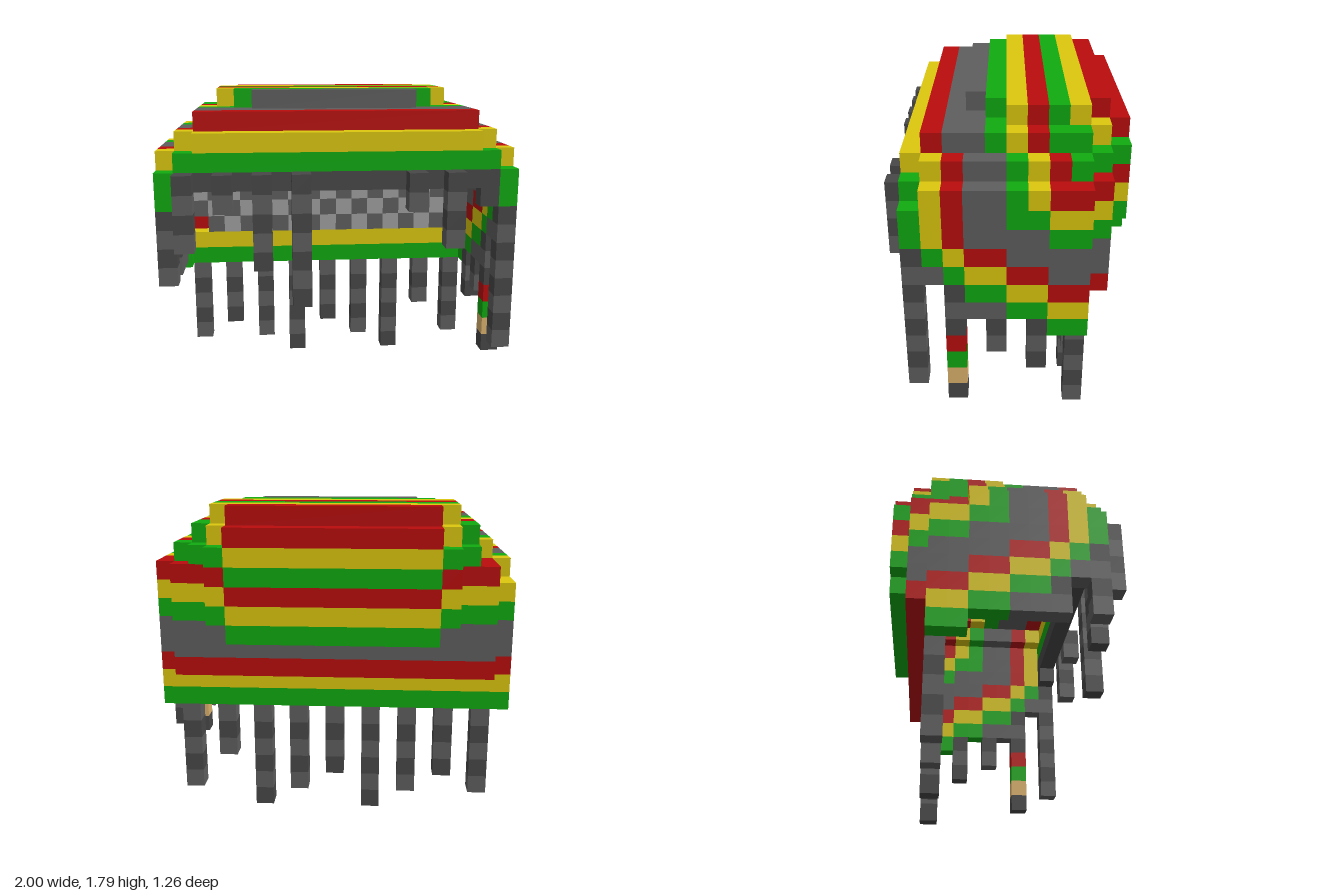
import * as THREE from 'three';
import { mergeGeometries } from 'three/addons/utils/BufferGeometryUtils.js';

const U = 2 / 19; // one block; columns i = -9..9, rows from the ground, layers k = 0 (front)..11 (back)
const COLORS = {
  a: 0x5f5f5f, d: 0x484848, l: 0xa0a0a0, r: 0xbb0d0d, y: 0xdcc80e, g: 0x10ab10, t: 0xdeb46e,
};
const materials = {};
for (const key in COLORS) {
  materials[key] = new THREE.MeshStandardMaterial({ color: COLORS[key], flatShading: true });
}

// Stripe colour per layer, top row (16) down to the rim at the back (6)
const TOP = 16;
const STRIPES = [
  '....agyrgyr.',
  '..raagyrggyr',
  '.yyraagyrggg',
  '.gyraagyrrrr',
  '.gyraaggyyyy',
  '.gyraaaagggg',
  '..gyrraaaaag',
  '...gyyrraaa.',
  '....ggyyrrr.',
  '......ggyy..',
  '........gg..',
];
const BACK_PANEL = { 15: 'r', 14: 'y', 13: 'g', 12: 'r', 11: 'y', 10: 'g' };

const stripe = (row, k) => STRIPES[TOP - row]?.[k] ?? '.';

// Half width of the cap for one row and layer: rounded at the top, front and back
function halfWidth(row, k) {
  const cap = row > 13 ? 22 - row : 9;
  if (k === 11) return row === 10 ? 5 : Math.min(6, cap - 2);
  if (k === 10) return cap - 1;
  if (k === 1 && row >= 13) return cap - 1;
  if (row === 16 && k < 6) return k;
  return cap;
}

function solid(i, row, k) {
  if (stripe(row, k) === '.') return false;
  const h = halfWidth(row, k);
  // Worn corner on the right side
  if (i === -h && (row === 13 || row === 14) && (k === 8 || k === 9)) return false;
  return Math.abs(i) <= h;
}

// The cap is a one-block shell, open at the bottom and the face
function capCell(i, row, k) {
  if (!solid(i, row, k)) return null;
  const exposed = !solid(i, row + 1, k) || !solid(i - 1, row, k) || !solid(i + 1, row, k)
    || !solid(i, row, k + 1) || (row >= 13 && !solid(i, row, k - 1));
  if (!exposed) return null;
  return k === 11 && Math.abs(i) <= 5 ? BACK_PANEL[row] : stripe(row, k);
}

// Hair under the front edge and the checked lining inside the back
function liningCell(i, row, k) {
  const x = Math.abs(i);
  if (k === 1 && row === 12 && x <= 8) return 'd';
  if (k === 1 && row === 11 && i === 8) return 'd';
  if (k !== 9) return null;
  if (row === 11 && x <= 7) return 'a';
  if (row >= 8 && row <= 10 && x <= (row === 8 ? 7 : 8)) return (x + row) % 2 ? 'a' : 'l';
  return null;
}

function block(i0, i1, row, k) {
  return new THREE.BoxGeometry((i1 - i0 + 1) * U, U, U)
    .translate((i0 + i1) / 2 * U, (row + 0.5) * U, (5.5 - k) * U);
}

// Joins neighbouring blocks of one colour into bars, with one mesh per colour
function buildBlocks(name, cellAt) {
  const group = new THREE.Group();
  group.name = name;
  const bars = {};
  for (let row = 0; row <= TOP; row++) {
    for (let k = 0; k < 12; k++) {
      let start = -9;
      for (let i = -9; i <= 9; i++) {
        const color = cellAt(i, row, k);
        if (i < 9 && cellAt(i + 1, row, k) === color) continue;
        if (color) (bars[color] ??= []).push(block(start, i, row, k));
        start = i + 1;
      }
    }
  }
  for (const color in bars) {
    const mesh = new THREE.Mesh(mergeGeometries(bars[color]), materials[color]);
    mesh.name = `${name}Blocks`;
    group.add(mesh);
  }
  return group;
}

// A hanging lock of hair with alternating shades; beads replace some blocks
function lock(name, i, k, low, high, beads = {}) {
  const group = new THREE.Group();
  group.name = name;
  for (let row = low; row <= high; row++) {
    const color = beads[row] ?? (row % 2 ? 'a' : 'd');
    const mesh = new THREE.Mesh(block(i, i, row, k), materials[color]);
    mesh.name = beads[row] ? 'bead' : 'lockBlock';
    group.add(mesh);
  }
  return group;
}

export function createModel() {
  const model = new THREE.Group();
  model.name = 'stripedCapWithLocks';
  model.add(buildBlocks('cap', capCell), buildBlocks('lining', liningCell));

  // Fringe: column and lowest row
  for (const [i, low] of [[-8, 9], [-6, 11], [-4, 8], [-2, 6], [4, 11], [6, 9]]) {
    model.add(lock('frontLock', i, 0, low, 12));
  }

  // Back locks, left to right across the rim
  [1, 2, 1, 0, 2, 1, 0, 3, 1].forEach((low, n) => {
    model.add(lock('backLock', n * 2 - 8, 9, low, 5));
  });

  // Left side: layer, lowest row, highest row
  for (const [k, low, high] of [[1, 3, 10], [2, 9, 9], [4, 7, 7], [5, 5, 7], [7, 4, 6]]) {
    model.add(lock('leftLock', 9, k, low, high));
  }
  model.add(lock('beadedLock', 9, 3, 2, 8, { 5: 'r', 4: 'g', 3: 't' }));

  // Right side, shorter
  for (const [k, low, high] of [[1, 7, 10], [2, 9, 9], [3, 7, 8], [4, 7, 7], [5, 7, 7]]) {
    model.add(lock('rightLock', -9, k, low, high));
  }
  return model;
}
